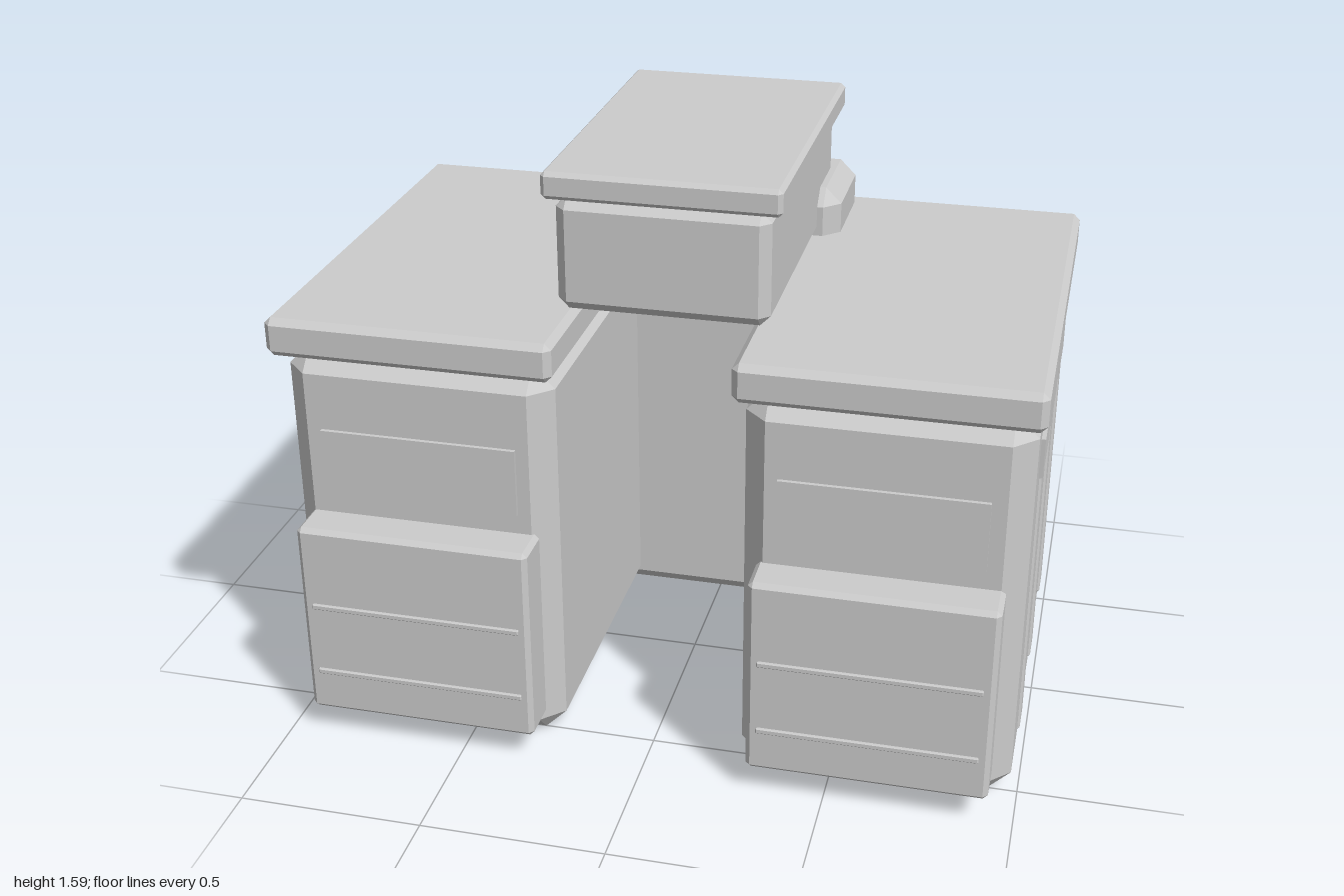
import * as THREE from 'three';
import { ConvexGeometry } from 'three/addons/geometries/ConvexGeometry.js';

const material = new THREE.MeshStandardMaterial({ color: 0xcccccc, flatShading: true });

// Box with flat chamfers of size c on every edge, given its min/max on each axis
function chamferBox(name, [x0, x1], [y0, y1], [z0, z1], c) {
  const h = [(x1 - x0) / 2, (y1 - y0) / 2, (z1 - z0) / 2];
  const points = [];
  for (const sx of [-1, 1]) for (const sy of [-1, 1]) for (const sz of [-1, 1]) {
    for (let axis = 0; axis < 3; axis++) {
      const p = h.map((v, i) => (i === axis ? v : v - c));
      points.push(new THREE.Vector3(sx * p[0], sy * p[1], sz * p[2]));
    }
  }
  const mesh = new THREE.Mesh(new ConvexGeometry(points), material);
  mesh.position.set((x0 + x1) / 2, (y0 + y1) / 2, (z0 + z1) / 2);
  mesh.name = name;
  return mesh;
}

// Plain box from its min/max on each axis
function plainBox(name, [x0, x1], [y0, y1], [z0, z1]) {
  const mesh = new THREE.Mesh(new THREE.BoxGeometry(x1 - x0, y1 - y0, z1 - z0), material);
  mesh.position.set((x0 + x1) / 2, (y0 + y1) / 2, (z0 + z1) / 2);
  mesh.name = name;
  return mesh;
}

// One side pack; s = 1 for the left, -1 for the right
function sidePack(s) {
  const group = new THREE.Group();
  group.name = s > 0 ? 'leftPack' : 'rightPack';
  const span = (a, b) => (s > 0 ? [a, b] : [-b, -a]);

  group.add(
    chamferBox('packBody', span(0.25, 0.98), [0, 1.112], [-0.655, 0.56], 0.06),
    chamferBox('packLid', span(0.23, 1.0), [1.11, 1.217], [-0.677, 0.603], 0.018),
    chamferBox('frontPocket', span(0.292, 0.932), [0.08, 0.648], [0.54, 0.67], 0.013),
    plainBox('frontPlaque', span(0.345, 0.88), [0.705, 0.895], [0.55, 0.571])
  );
  // Thin ribs across the pocket
  for (const y of [0.207, 0.412]) {
    group.add(chamferBox('pocketRib', span(0.32, 0.902), [y - 0.008, y + 0.008], [0.66, 0.677], 0.003));
  }
  // Outer straps and their buckles
  for (const z of [0.287, -0.08, -0.446]) {
    group.add(chamferBox('strap', span(0.938, 0.987), [0.085, 1.115], [z - 0.053, z + 0.053], 0.006));
  }
  for (const z of [0.272, -0.032, -0.334]) {
    group.add(plainBox('buckle', span(0.96, 0.991), [0.887, 0.997], [z - 0.118, z + 0.118]));
  }
  return group;
}

export function createModel() {
  const model = new THREE.Group();
  model.name = 'packs';
  model.add(sidePack(1), sidePack(-1));

  // Rear column joining the packs, with the overhanging top box
  model.add(
    chamferBox('rearColumn', [-0.342, 0.342], [0, 1.347], [-0.656, -0.312], 0.045),
    chamferBox('topBox', [-0.28, 0.28], [1.217, 1.522], [-0.557, 0.378], 0.028),
    chamferBox('topBoxLid', [-0.311, 0.311], [1.52, 1.594], [-0.567, 0.387], 0.012)
  );
  return model;
}
